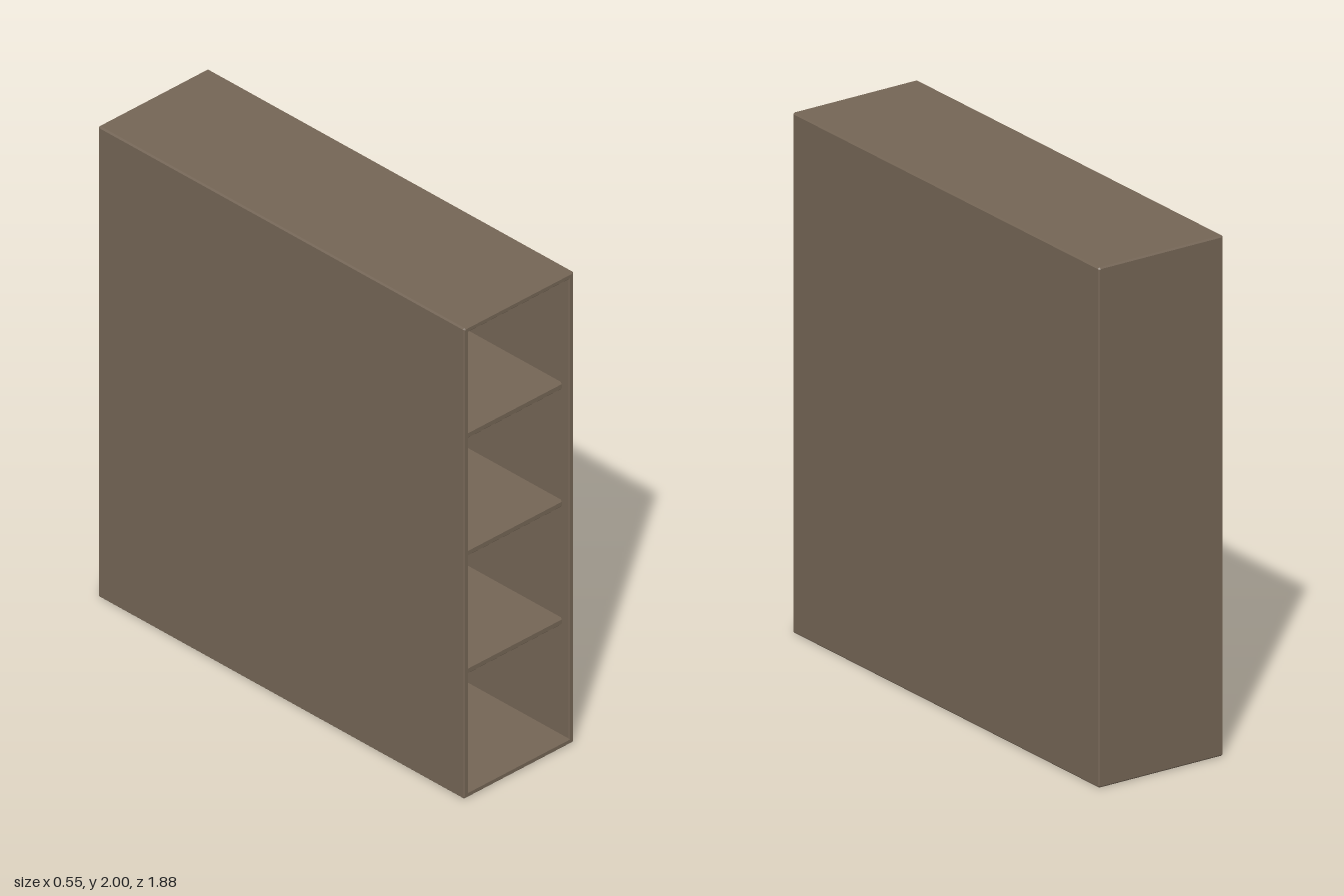
import * as THREE from 'three';

const W = 0.55, H = 2, D = 1.88; // overall size
const T = 0.026; // board thickness
const B = 0.006; // edge chamfer

const wood = new THREE.MeshStandardMaterial({ color: 0x736454 });

// Trace a rectangle with clipped corners, centred on (0, cy)
function trace(path, w, h, cy, c) {
  const x = w / 2, y0 = cy - h / 2, y1 = cy + h / 2;
  path.moveTo(-x + c, y0);
  path.lineTo(x - c, y0);
  path.lineTo(x, y0 + c);
  path.lineTo(x, y1 - c);
  path.lineTo(x - c, y1);
  path.lineTo(-x + c, y1);
  path.lineTo(-x, y1 - c);
  path.lineTo(-x, y0 + c);
  path.closePath();
  return path;
}

// Extrude a shape from z0 to z1 with chamfered ends
function board(name, shape, z0, z1) {
  const geo = new THREE.ExtrudeGeometry(shape, {
    depth: z1 - z0 - 2 * B,
    bevelEnabled: true, bevelThickness: B, bevelSize: B, bevelOffset: -B, bevelSegments: 1,
  });
  geo.translate(0, 0, z0 + B);
  const mesh = new THREE.Mesh(geo, wood);
  mesh.name = name;
  return mesh;
}

export function createModel() {
  const group = new THREE.Group();
  group.name = 'deepShelfCabinet';

  // Sides, top and bottom as one open frame
  const frame = trace(new THREE.Shape(), W, H, H / 2, B);
  const opening = new THREE.Path();
  const x = W / 2 - T;
  opening.moveTo(-x, T);
  opening.lineTo(-x, H - T);
  opening.lineTo(x, H - T);
  opening.lineTo(x, T);
  opening.closePath();
  frame.holes.push(opening);
  group.add(board('cabinetFrame', frame, -D / 2 + 0.01, D / 2));

  // Back panel closing the frame
  group.add(board('backPanel', trace(new THREE.Shape(), W, H, H / 2, B), -D / 2, -D / 2 + 0.03));

  // Three shelves, set slightly back from the front edge
  for (let i = 1; i <= 3; i++) {
    const shape = trace(new THREE.Shape(), W - 2 * T - 0.008, 0.03, i * 0.5 + 0.017, B);
    group.add(board('shelf' + i, shape, -D / 2 + 0.02, D / 2 - 0.025));
  }
  return group;
}
